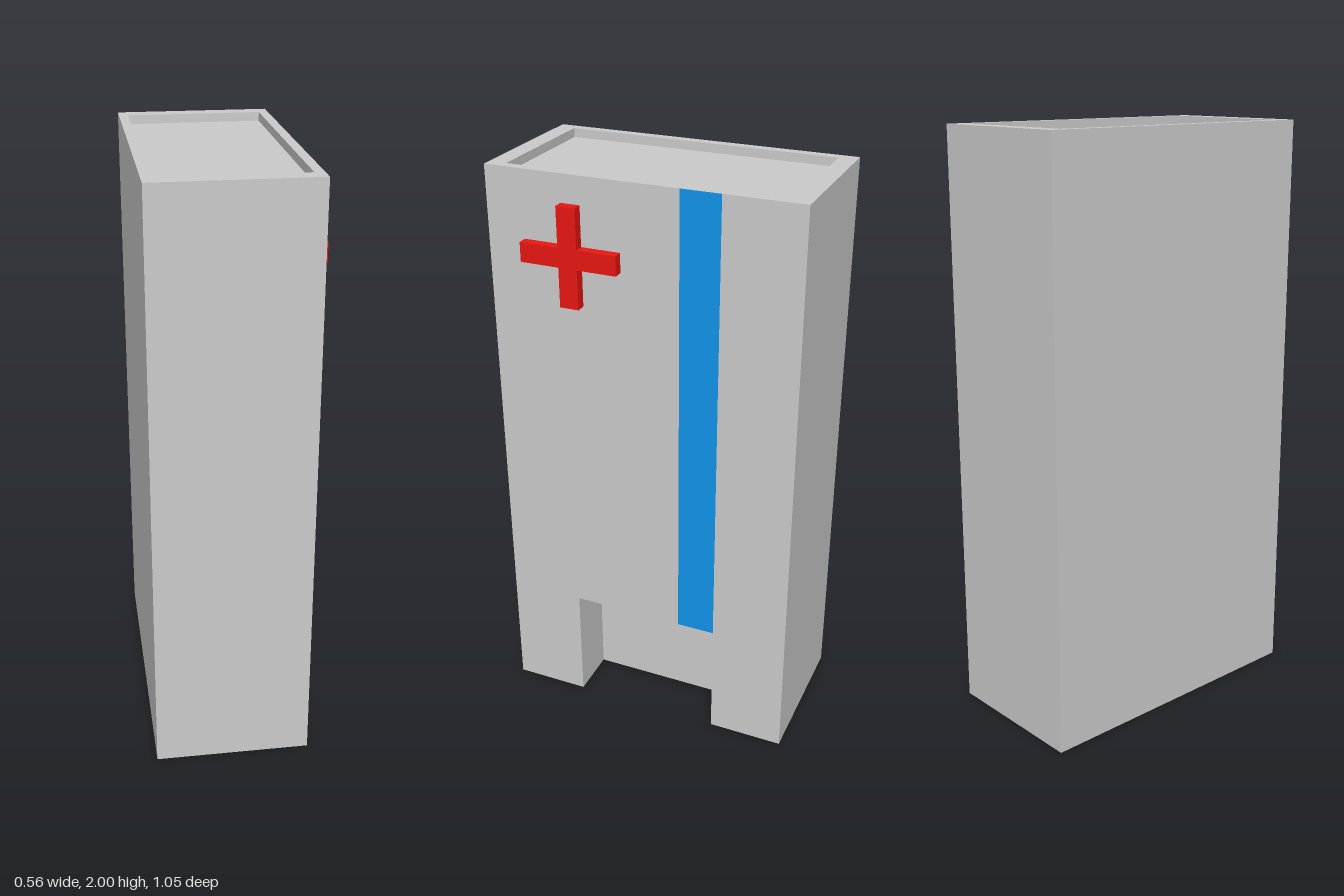
import * as THREE from 'three';

// Main dimensions
const X0 = -0.28, X1 = 0.245, Z = 0.525, H = 2;
const RIM_X = 0.032, RIM_Z = 0.06, RECESS = 0.03;
const NOTCH_Z = 0.262, NOTCH_X = 0.068, NOTCH_TOP = 0.42, NOTCH_IN = 0.28;
const STRIPE_Z = -0.13;

const grey = new THREE.MeshStandardMaterial({ color: 0xcccccc });
const blue = new THREE.MeshStandardMaterial({ color: 0x1094eb });
const red = new THREE.MeshStandardMaterial({ color: 0xe81712 });

// Mesh from quads whose corners run counter-clockwise seen from outside
function quadMesh(name, quads, material) {
  const pos = [];
  for (const [a, b, c, d] of quads) pos.push(...a, ...b, ...c, ...a, ...c, ...d);
  const geo = new THREE.BufferGeometry();
  geo.setAttribute('position', new THREE.Float32BufferAttribute(pos, 3));
  geo.computeVertexNormals();
  const mesh = new THREE.Mesh(geo, material);
  mesh.name = name;
  return mesh;
}

// Rectangle in the right-hand (+x) wall plane, from z = za back to z = zb
const wall = (x, za, zb, y0, y1) => [[x, y0, za], [x, y0, zb], [x, y1, zb], [x, y1, za]];
// Downward-facing rectangle on the ground
const under = (x0, x1, z0, z1) => [[x0, 0, z0], [x1, 0, z0], [x1, 0, z1], [x0, 0, z1]];
// Horizontal ring of corners, counter-clockwise from above
const ring = (y, dx, dz) => [
  [X0 + dx, y, Z - dz], [X1 - dx, y, Z - dz], [X1 - dx, y, -Z + dz], [X0 + dx, y, -Z + dz],
];

export function createModel() {
  const group = new THREE.Group();
  group.name = 'dispenserBox';

  // Outer shell: front, back, left and the wall around notch and stripe, plus the U-shaped base
  const base = ring(0, 0, 0), top = ring(H, 0, 0);
  const shell = [0, 2, 3].map((i) => {
    const j = (i + 1) % 4;
    return [base[i], base[j], top[j], top[i]];
  });
  shell.push(
    wall(X1, Z, NOTCH_Z, 0, H),
    wall(X1, NOTCH_Z, STRIPE_Z, NOTCH_TOP, H),
    wall(X1, -NOTCH_Z, -Z, 0, H),
    under(X0, X1, NOTCH_Z, Z),
    under(X0, X1, -Z, -NOTCH_Z),
    under(X0, NOTCH_X, -NOTCH_Z, NOTCH_Z),
  );
  group.add(quadMesh('bodyShell', shell, grey));

  // Top rim and shallow recess
  const lip = ring(H, RIM_X, RIM_Z), floor = ring(H - RECESS, RIM_X, RIM_Z);
  const rim = [floor];
  for (let i = 0; i < 4; i++) {
    const j = (i + 1) % 4;
    rim.push([top[i], top[j], lip[j], lip[i]], [lip[i], lip[j], floor[j], floor[i]]);
  }
  group.add(quadMesh('topRecess', rim, grey));

  // Outlet notch: inner wall, sloping ceiling and two cheeks
  const cheek = (z) => [[NOTCH_X, 0, z], [X1, 0, z], [X1, NOTCH_TOP, z], [NOTCH_X, NOTCH_IN, z]];
  group.add(quadMesh('outletNotch', [
    wall(NOTCH_X, NOTCH_Z, -NOTCH_Z, 0, NOTCH_IN),
    [[NOTCH_X, NOTCH_IN, NOTCH_Z], [NOTCH_X, NOTCH_IN, -NOTCH_Z],
      [X1, NOTCH_TOP, -NOTCH_Z], [X1, NOTCH_TOP, NOTCH_Z]],
    cheek(-NOTCH_Z),
    cheek(NOTCH_Z).reverse(),
  ], grey));

  // Flush coloured stripe above the notch
  group.add(quadMesh('stripe', [wall(X1, STRIPE_Z, -NOTCH_Z, NOTCH_TOP, H)], blue));

  // Raised cross
  const L = 0.165, w = 0.0325;
  const outline = [[w, L], [-w, L], [-w, w], [-L, w], [-L, -w], [-w, -w],
    [-w, -L], [w, -L], [w, -w], [L, -w], [L, w], [w, w]];
  const shape = new THREE.Shape(outline.map(([x, y]) => new THREE.Vector2(x, y)));
  const cross = new THREE.Mesh(
    new THREE.ExtrudeGeometry(shape, { depth: 0.034, bevelEnabled: false }), red);
  cross.name = 'cross';
  cross.rotation.y = Math.PI / 2;
  cross.position.set(X1, 1.743, 0.231);
  group.add(cross);

  return group;
}
